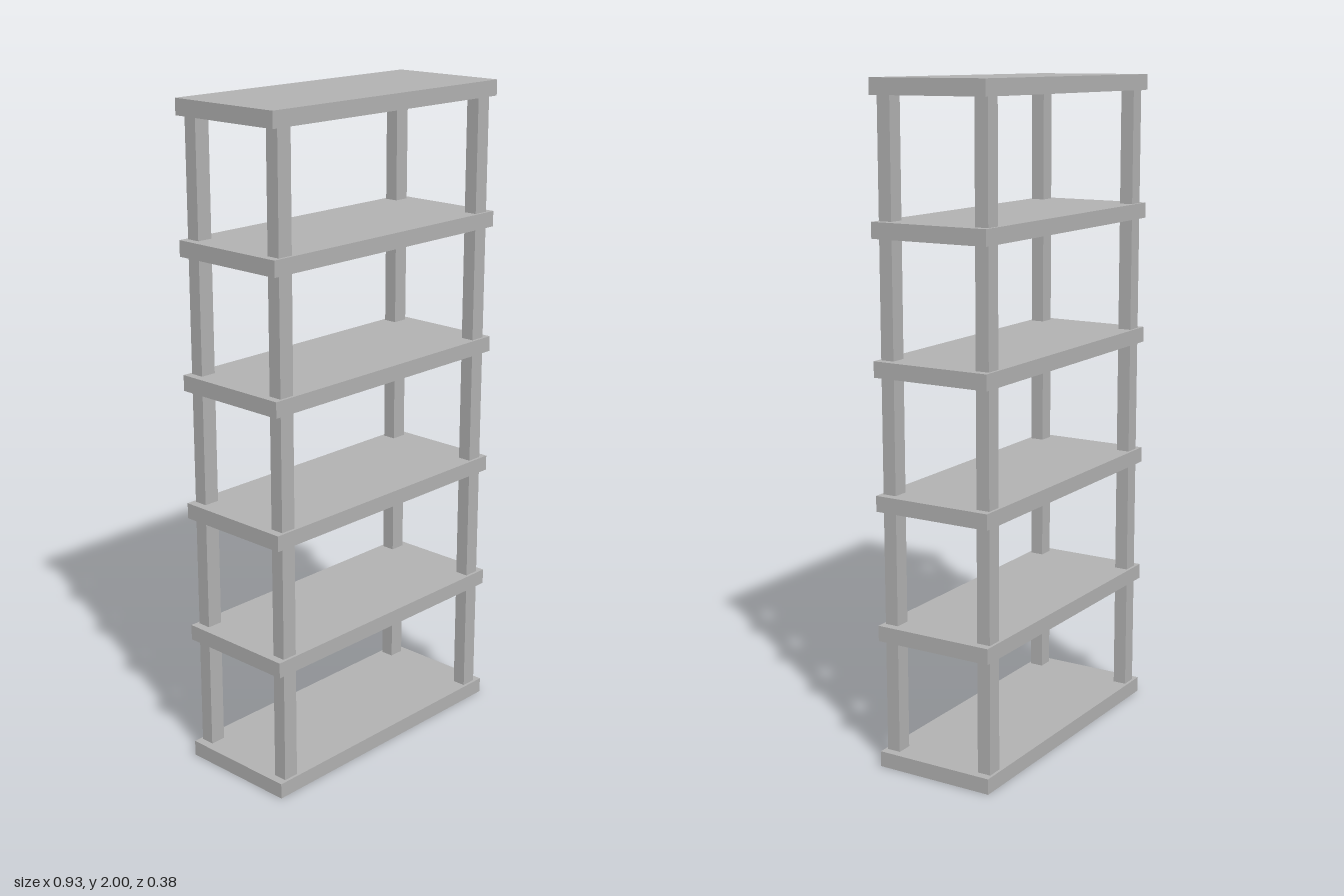
import * as THREE from 'three';

const HEIGHT = 2, WIDTH = 0.925, DEPTH = 0.375, THICK = 0.047, SHELVES = 6;
const POST_W = 0.049, POST_D = 0.042, POST_X = 0.413, POST_Z = 0.158;

export function createModel() {
  const model = new THREE.Group();
  model.name = 'shelfUnit';
  const grey = new THREE.MeshStandardMaterial({ color: 0xb2b2b2 });
  grey.name = 'grey';

  const addBox = (name, w, h, d, x, y, z) => {
    const mesh = new THREE.Mesh(new THREE.BoxGeometry(w, h, d), grey);
    mesh.name = name;
    mesh.position.set(x, y, z);
    model.add(mesh);
  };

  const pitch = (HEIGHT - THICK) / (SHELVES - 1);
  for (let i = 0; i < SHELVES; i++) {
    // Evenly spaced boards from the floor to the top
    const y = THICK / 2 + i * pitch;
    addBox(`shelf${i + 1}`, WIDTH, THICK, DEPTH, 0, y, 0);

    // Four posts between this board and the next
    if (i === SHELVES - 1) continue;
    for (const sx of [-1, 1]) {
      for (const sz of [-1, 1]) {
        const name = `${sz > 0 ? 'front' : 'back'}${sx > 0 ? 'Left' : 'Right'}Post${i + 1}`;
        addBox(name, POST_W, pitch - THICK, POST_D, sx * POST_X, y + pitch / 2, sz * POST_Z);
      }
    }
  }
  return model;
}
